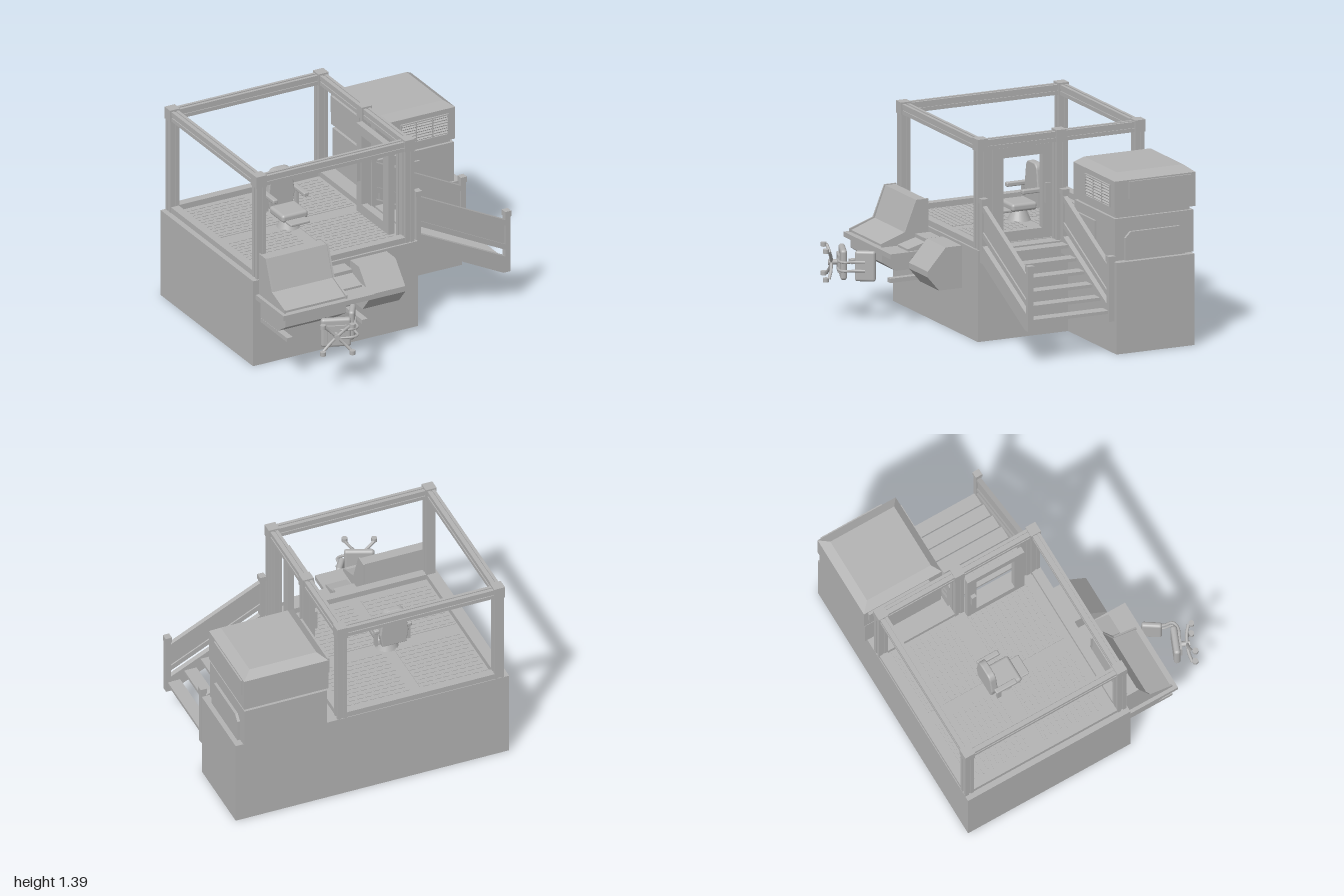
import * as THREE from 'three';
import { mergeGeometries } from 'three/addons/utils/BufferGeometryUtils.js';
import { RoundedBoxGeometry } from 'three/addons/geometries/RoundedBoxGeometry.js';

const grey = new THREE.MeshStandardMaterial({ color: 0xb2b2b2 });
grey.name = 'plain grey';

function add(parent, name, geo) {
  const mesh = new THREE.Mesh(geo, grey);
  mesh.name = name;
  parent.add(mesh);
  return mesh;
}
function group(parent, name) {
  const g = new THREE.Group();
  g.name = name;
  parent.add(g);
  return g;
}
// Box from its limits
function boxGeo(x0, x1, y0, y1, z0, z1) {
  return new THREE.BoxGeometry(x1 - x0, y1 - y0, z1 - z0)
    .translate((x0 + x1) / 2, (y0 + y1) / 2, (z0 + z1) / 2);
}
const box = (p, name, ...b) => add(p, name, boxGeo(...b));
// Cushion from its limits
function cushion(p, name, r, x0, x1, y0, y1, z0, z1) {
  return add(p, name, new RoundedBoxGeometry(x1 - x0, y1 - y0, z1 - z0, 4, r)
    .translate((x0 + x1) / 2, (y0 + y1) / 2, (z0 + z1) / 2));
}
const shapeOf = pts => new THREE.Shape(pts.map(([a, b]) => new THREE.Vector2(a, b)));
const extrude = (pts, depth) => new THREE.ExtrudeGeometry(shapeOf(pts), { depth, bevelEnabled: false });
// (x, y) outline between two z limits
const alongZ = (p, name, pts, z0, z1) => add(p, name, extrude(pts, z1 - z0).translate(0, 0, z0));
// (z, y) outline between two x limits
const alongX = (p, name, pts, x0, x1) =>
  add(p, name, extrude(pts, x1 - x0).rotateY(-Math.PI / 2).translate(x1, 0, 0));
function tube(p, name, pts, r) {
  const curve = new THREE.CatmullRomCurve3(pts.map(a => new THREE.Vector3(...a)));
  return add(p, name, new THREE.TubeGeometry(curve, 16, r, 8));
}

// Grooved square bar of length len, centred, running along z
function barGeo(w, h, len) {
  const pts = [], g = 0.007;
  const corners = [[-1, -1], [1, -1], [1, 1], [-1, 1]];
  corners.forEach(([cx, cy], i) => {
    const [nx, ny] = corners[(i + 1) % 4];
    const a = [cx * w / 2, cy * h / 2], b = [nx * w / 2, ny * h / 2];
    const at = (t, d) => [a[0] + (b[0] - a[0]) * t - (cx + nx) / 2 * d, a[1] + (b[1] - a[1]) * t - (cy + ny) / 2 * d];
    pts.push(a, at(0.38, 0), at(0.38, g), at(0.62, g), at(0.62, 0));
  });
  return extrude(pts, len).translate(0, 0, -len / 2);
}

function buildFrame(root) {
  const f = group(root, 'cabinFrame');
  for (const [x, z] of [[-0.93, -0.935], [-0.93, 0.245], [0.21, -0.935], [0.21, 0.245], [0.21, -0.345]]) {
    add(f, 'framePost', barGeo(0.068, 0.068, 0.75).rotateX(Math.PI / 2).translate(x, 1.005, z));
    box(f, 'postCap', x - 0.039, x + 0.039, 1.305, 1.39, z - 0.038, z + 0.038);
  }
  for (const z of [-0.935, 0.245]) {
    add(f, 'topBeam', barGeo(0.056, 0.07, 1.08).rotateY(Math.PI / 2).translate(-0.36, 1.343, z));
    box(f, 'floorSill', -0.9, 0.18, 0.63, 0.67, z - 0.03, z + 0.03);
  }
  for (const x of [-0.93, 0.21])
    add(f, 'topBeam', barGeo(0.056, 0.07, 1.12).translate(x, 1.343, -0.345));
  box(f, 'floorSill', -0.96, -0.9, 0.63, 0.67, -0.9, 0.21);
  box(f, 'floorSill', 0.18, 0.24, 0.63, 0.67, -0.9, -0.38);
  add(f, 'doorJamb', barGeo(0.05, 0.076, 0.68).rotateX(Math.PI / 2).translate(0.21, 0.97, 0.171));

  // Inner door with an open window
  const d = group(root, 'door');
  const outline = shapeOf([[-0.31, 0.64], [0.13, 0.64], [0.13, 1.29], [-0.31, 1.29]]);
  outline.holes.push(shapeOf([[-0.24, 0.71], [-0.24, 1.22], [0.055, 1.22], [0.055, 0.71]]));
  add(d, 'doorLeaf', new THREE.ExtrudeGeometry(outline, { depth: 0.045, bevelEnabled: false })
    .rotateY(-Math.PI / 2).translate(0.175, 0, 0));
  box(d, 'doorHandle', 0.105, 0.13, 0.88, 1.02, -0.29, -0.255);
  box(d, 'doorHandle', 0.175, 0.19, 0.88, 1.02, -0.29, -0.255);
}

function buildFloor(root) {
  const f = group(root, 'floorPanels');
  for (const x of [-0.645, -0.08]) for (const z of [-0.64, -0.07]) {
    box(f, 'floorPanel', x - 0.245, x + 0.245, 0.628, 0.634, z - 0.24, z + 0.24);
    // Staggered raised treads
    const ribs = [];
    for (let i = 0; i < 12; i++) for (let j = 0; j < 8; j++) {
      const rx = x - 0.222 + j * 0.06 + (i % 2) * 0.018, rz = z - 0.215 + i * 0.039;
      ribs.push(boxGeo(rx - 0.02, rx + 0.022, 0.633, 0.638, rz - 0.006, rz + 0.006));
    }
    add(f, 'treadPattern', mergeGeometries(ribs));
  }
}

function buildStairs(root) {
  const s = group(root, 'stairs');
  for (let i = 0; i < 6; i++) {
    const x = 0.33 + i * 0.119, y = 0.625 - i * 0.064;
    box(s, 'step', x - 0.045, x + 0.045, y - 0.022, y, -0.34, 0.24);
  }
  const slanted = (a, b) => [[0.29, b], [0.955, b - 0.333], [0.955, a - 0.333], [0.29, a]];
  for (const z of [-0.35, 0.255]) {
    const rail = group(s, 'stairSide');
    alongZ(rail, 'stringer', [[0.262, 0.545], [0.3, 0.545], [0.93, 0.23], [0.98, 0.23], [0.98, 0.33],
      [0.3, 0.665], [0.262, 0.665]], z - 0.018, z + 0.018);
    alongZ(rail, 'handRail', slanted(0.945, 0.905), z - 0.016, z + 0.016);
    alongZ(rail, 'lowerRail', slanted(0.765, 0.725), z - 0.016, z + 0.016);
    alongZ(rail, 'railPanel', slanted(0.91, 0.76), z - 0.006, z + 0.006);
    box(rail, 'upperPost', 0.262, 0.298, 0.63, 0.97, z - 0.02, z + 0.02);
    box(rail, 'postCap', 0.257, 0.303, 0.955, 0.99, z - 0.025, z + 0.025);
    box(rail, 'lowerPost', 0.947, 0.983, 0.23, 0.65, z - 0.02, z + 0.02);
    box(rail, 'postCap', 0.942, 0.988, 0.64, 0.68, z - 0.025, z + 0.025);
  }
}

function buildMachine(root) {
  const m = group(root, 'machineUnit');
  box(m, 'lowerCabinet', 0.33, 0.93, 0.63, 0.92, -0.99, -0.4);
  box(m, 'gapPlinth', 0.35, 0.91, 0.92, 0.945, -0.97, -0.42);
  box(m, 'upperCabinet', 0.325, 0.937, 0.945, 1.18, -1, -0.395);
  // Chamfered lid: the top corners are pulled inwards
  const lid = boxGeo(0.325, 0.937, 1.18, 1.225, -1, -0.395);
  const p = lid.attributes.position;
  for (let i = 0; i < p.count; i++) if (p.getY(i) > 1.2) {
    p.setX(i, p.getX(i) + (p.getX(i) < 0.6 ? 0.062 : -0.065));
    p.setZ(i, p.getZ(i) + (p.getZ(i) < -0.7 ? 0.06 : -0.05));
  }
  lid.computeVertexNormals();
  add(m, 'lid', lid);
  // Louvred vent
  const v = group(m, 'vent');
  for (const x of [0.515, 0.63, 0.755, 0.875]) box(v, 'ventUpright', x, x + 0.008, 0.99, 1.145, -0.395, -0.383);
  for (const y of [0.99, 1.137]) box(v, 'ventEdge', 0.515, 0.883, y, y + 0.008, -0.395, -0.383);
  for (let i = 0; i < 7; i++)
    add(v, 'ventSlat', new THREE.BoxGeometry(0.355, 0.004, 0.014).rotateX(0.6).translate(0.699, 1.01 + i * 0.02, -0.39));
  // Attached plates and boxes
  box(m, 'sideBox', 0.305, 0.325, 1.05, 1.17, -0.97, -0.5);
  box(m, 'sideStrip', 0.937, 0.948, 1.05, 1.17, -0.97, -0.5);
  box(m, 'frontPanel', 0.35, 0.66, 0.63, 0.85, -0.4, -0.385);
  alongX(m, 'sidePanel', [[-0.915, 0.63], [-0.47, 0.63], [-0.47, 0.785], [-0.51, 0.825], [-0.875, 0.825], [-0.915, 0.785]], 0.93, 0.95);
}

function buildConsole(root) {
  const c = group(root, 'controlDesk');
  box(c, 'deskTop', -0.98, -0.28, 0.49, 0.525, 0.29, 0.67);
  alongX(c, 'consoleBody', [[0.29, 0.525], [0.63, 0.525], [0.63, 0.54], [0.455, 0.605], [0.375, 0.82], [0.3, 0.82]], -0.945, -0.48);
  for (const x of [-0.955, -0.485])
    alongX(c, 'consoleCheek', [[0.29, 0.525], [0.64, 0.525], [0.64, 0.55], [0.465, 0.612], [0.38, 0.825], [0.29, 0.825]], x, x + 0.012);
  alongX(c, 'underCabinet', [[0.29, 0.35], [0.53, 0.35], [0.635, 0.42], [0.635, 0.49], [0.29, 0.49]], -0.945, -0.48);
  alongX(c, 'keypad', [[0.4, 0.525], [0.53, 0.525], [0.53, 0.54], [0.4, 0.575]], -0.45, -0.3);
  box(c, 'deskBox', -0.45, -0.3, 0.525, 0.6, 0.29, 0.4);
  for (const x of [-0.92, -0.345]) {
    box(c, 'deskFoot', x - 0.022, x + 0.022, 0.315, 0.345, 0.29, 0.65);
    alongX(c, 'deskLeg', [[0.3, 0.34], [0.42, 0.34], [0.48, 0.49], [0.3, 0.49]], x - 0.018, x + 0.018);
  }
  // Separate wall cabinet with a sloped face
  alongX(root, 'wallCabinet', [[0.29, 0.32], [0.46, 0.32], [0.545, 0.42], [0.545, 0.46], [0.41, 0.612], [0.29, 0.612]], -0.255, 0.025);
}

function buildOperatorSeat(root) {
  const s = group(root, 'operatorSeat');
  s.position.set(-0.375, 0.63, -0.34);
  add(s, 'seatBase', new THREE.CylinderGeometry(0.045, 0.08, 0.08, 24).translate(0, 0.04, 0));
  cushion(s, 'seatCushion', 0.02, -0.1, 0.1, 0.08, 0.135, -0.09, 0.1);
  cushion(s, 'footRest', 0.007, -0.075, 0.075, 0.075, 0.095, 0.08, 0.17);
  const back = new THREE.Shape();
  back.moveTo(-0.08, 0.11);
  back.lineTo(0.08, 0.11);
  back.lineTo(0.095, 0.2);
  back.lineTo(0.075, 0.34);
  back.quadraticCurveTo(0.07, 0.382, 0.03, 0.382);
  back.lineTo(-0.03, 0.382);
  back.quadraticCurveTo(-0.07, 0.382, -0.075, 0.34);
  back.lineTo(-0.095, 0.2);
  add(s, 'backRest', new THREE.ExtrudeGeometry(back, { depth: 0.03, bevelSize: 0.008, bevelThickness: 0.01, bevelSegments: 3 })
    .translate(0, 0, -0.13));
  for (const side of [-1, 1]) {
    const x = side * 0.117;
    cushion(s, 'armRest', 0.008, x - 0.019, x + 0.019, 0.205, 0.235, -0.12, 0.04);
    box(s, 'armSupport', x - 0.01, x + 0.01, 0.1, 0.21, -0.11, -0.08);
  }
}

function buildTippedChair(root) {
  const c = group(root, 'tippedChair');
  // Lying on its side: its sideways axis points up
  c.applyMatrix4(new THREE.Matrix4().makeBasis(new THREE.Vector3(0, 1, 0),
    new THREE.Vector3(0.381, 0, -0.9246), new THREE.Vector3(-0.9246, 0, -0.381)).setPosition(-0.715, 0.405, 0.935));
  for (let i = 0; i < 4; i++) {
    const a = Math.PI / 4 + i * Math.PI / 2, x = Math.cos(a), z = Math.sin(a);
    tube(c, 'baseLeg', [[0, 0.035, 0], [x * 0.07, 0.03, z * 0.07], [x * 0.14, 0.012, z * 0.14]], 0.011);
    add(c, 'caster', new THREE.CylinderGeometry(0.02, 0.02, 0.028, 16).rotateZ(Math.PI / 2).translate(x * 0.14, -0.008, z * 0.14));
  }
  add(c, 'gasColumn', new THREE.CylinderGeometry(0.016, 0.02, 0.08, 16).translate(0, 0.055, 0));
  box(c, 'seatPlate', -0.06, 0.06, 0.075, 0.092, -0.07, 0.06);
  cushion(c, 'seatCushion', 0.02, -0.105, 0.105, 0.09, 0.135, -0.105, 0.1);
  for (const x of [-0.03, 0.03])
    tube(c, 'backStrut', [[x, 0.08, -0.03], [x, 0.08, -0.11], [x, 0.11, -0.15], [x, 0.17, -0.14], [x, 0.25, -0.15]], 0.009);
  const back = cushion(c, 'backRest', 0.018, -0.105, 0.105, -0.07, 0.07, -0.02, 0.02);
  back.position.set(0, 0.255, -0.13);
  back.rotation.x = -0.19;
}

export function createModel() {
  const root = new THREE.Group();
  root.name = 'controlCabin';
  // L-shaped plinth
  box(root, 'plinth', -1, 0.265, 0, 0.63, -0.97, 0.29);
  box(root, 'plinthWing', 0.265, 0.985, 0, 0.63, -0.97, -0.385);
  buildFrame(root);
  buildFloor(root);
  buildStairs(root);
  buildMachine(root);
  buildConsole(root);
  buildOperatorSeat(root);
  buildTippedChair(root);
  return root;
}
